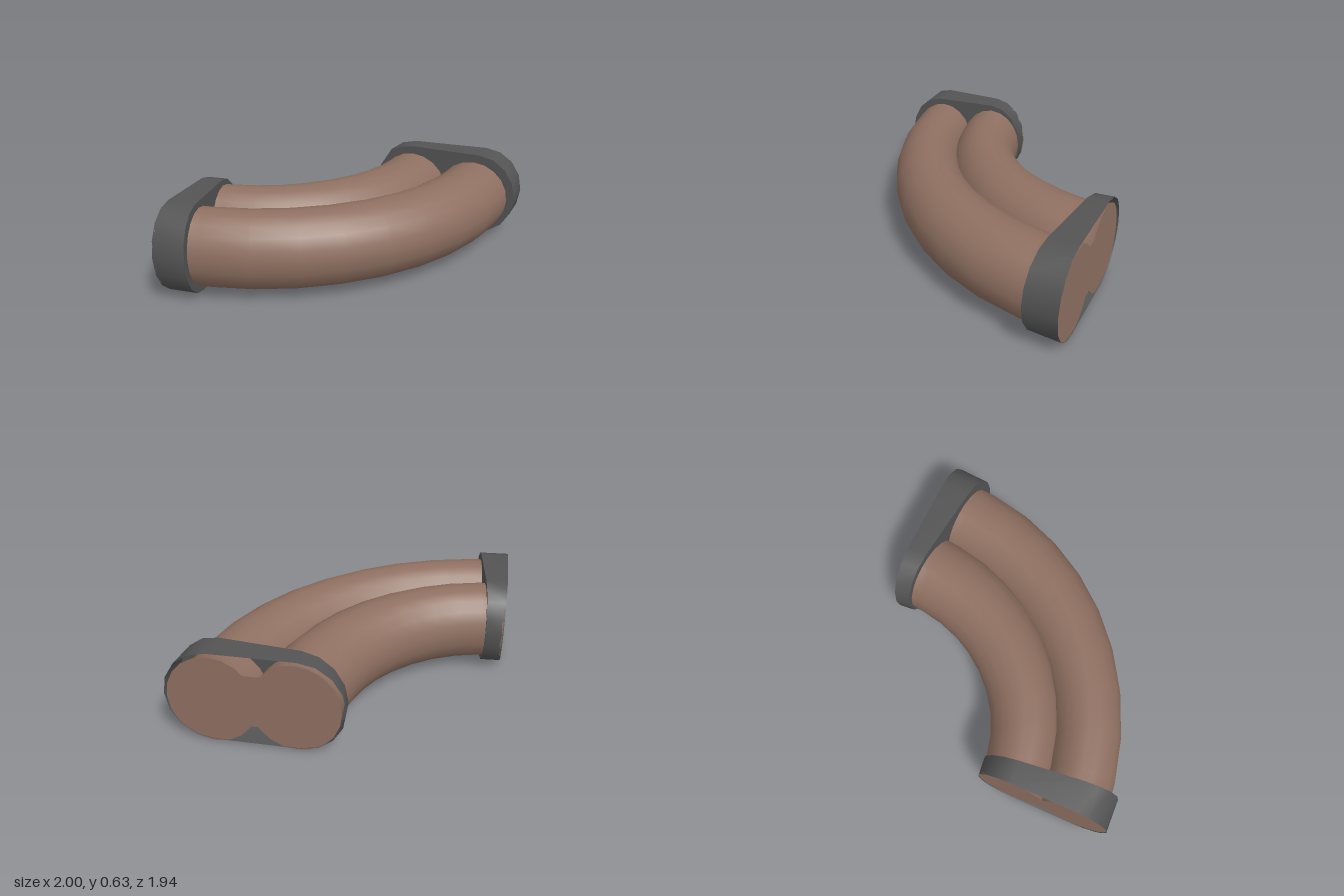
import * as THREE from 'three';

const brown = new THREE.MeshStandardMaterial({ color: 0x8f7061, side: THREE.DoubleSide });
brown.name = 'brown pipe';
const grey = new THREE.MeshStandardMaterial({ color: 0x545454, side: THREE.DoubleSide });
grey.name = 'dark grey collar';

const lerp = THREE.MathUtils.lerp;

// Skin over closed rings of equal length (smooth, open ended)
function loft(rings) {
  const n = rings[0].length, index = [];
  for (let i = 0; i < rings.length - 1; i++) {
    for (let j = 0; j < n; j++) {
      const a = i * n + j, b = i * n + (j + 1) % n;
      index.push(a, b, a + n, b, b + n, a + n);
    }
  }
  const g = new THREE.BufferGeometry().setFromPoints(rings.flat());
  g.setIndex(index);
  g.computeVertexNormals();
  return g;
}

// Flat fan filling one convex ring
function plate(ring) {
  const index = [];
  for (let j = 1; j < ring.length - 1; j++) index.push(0, j, j + 1);
  const g = new THREE.BufferGeometry().setFromPoints(ring);
  g.setIndex(index);
  g.computeVertexNormals();
  return g;
}

// Point in the bend: t = 0 at the right end, 1 at the back end; f = 0 inner edge, 1 outer edge
function bend(t, f, y) {
  const a = t * Math.PI / 2;
  return new THREE.Vector3(
    -0.995 + lerp(0.915, 1.935, f) * Math.sin(a), y,
    -0.968 + lerp(1.05, 1.895, f) * Math.cos(a));
}

function pipeRing(t, centre, half, ry) {
  const ring = [], sides = 20;
  for (let j = 0; j < sides; j++) {
    const a = j / sides * Math.PI * 2;
    ring.push(bend(t, centre + half * Math.cos(a), lerp(0.306, 0.286, t) + ry * Math.sin(a)));
  }
  return ring;
}

// Stadium outline as [u, y] pairs between u0 and u1
function stadium(u0, u1, ry, ru) {
  const pts = [], steps = 8;
  for (const s of [1, -1]) {
    const c = s > 0 ? u1 - ru : u0 + ru;
    for (let i = 0; i <= steps; i++) {
      const a = -Math.PI / 2 + i / steps * Math.PI;
      pts.push([c + s * ru * Math.cos(a), 0.307 + s * ry * Math.sin(a)]);
    }
  }
  return pts;
}

export function createModel() {
  const model = new THREE.Group();
  const add = (name, geometry, material, parent = model) => {
    const m = new THREE.Mesh(geometry, material);
    m.name = name;
    parent.add(m);
  };

  // Two pipes side by side, flared where they sit inside the collars
  const pipes = [['innerPipe', 0.264, 0.265], ['outerPipe', 0.736, 0.77]];
  for (const [name, centre, endCentre] of pipes) {
    const start = pipeRing(0, endCentre, 0.275, 0.3);
    const end = pipeRing(1, endCentre, 0.275, 0.3);
    const rings = [start];
    for (const t of [0.03, 0.1, 0.2, 0.3, 0.4, 0.5, 0.6, 0.7, 0.8, 0.9, 0.97]) {
      rings.push(pipeRing(t, centre, 0.264, 0.266));
    }
    rings.push(end);
    add(name, loft(rings), brown);
    add(name + 'RightEndCap', plate(start), brown);
    add(name + 'BackEndCap', plate(end), brown);
  }

  // Wedge shaped collars: u runs across the pipes, d along them
  const collars = [
    { name: 'rightCollar', at: (u, y, d) => new THREE.Vector3(d, y, u), face: -1,
      outer: [0.075, 0.967], inner: [0.062, 0.96], d: [-0.88, -0.78], ru: 0.235 },
    { name: 'backCollar', at: (u, y, d) => new THREE.Vector3(u, y, d), face: -0.974,
      outer: [-0.118, 1], inner: [-0.11, 0.98], d: [-0.87, -0.75], ru: 0.285 },
  ];
  for (const c of collars) {
    const group = new THREE.Group();
    group.name = c.name;
    const [o0, o1] = c.outer, [i0, i1] = c.inner;
    const rim = stadium(o0, o1, 0.307, c.ru).map(([u, y]) => c.at(u, y, c.face));
    const back = stadium(i0, i1, 0.305, c.ru).map(([u, y]) =>
      c.at(u, y, lerp(c.d[0], c.d[1], (u - i0) / (i1 - i0))));
    add('collarWall', loft([rim, back]), grey, group);
    add('collarInnerFace', plate(back), grey, group);
    // Raised panel joining the two pipe ends
    const panel = stadium(o0 + 0.1, o1 - 0.1, 0.18, c.ru * 0.65);
    add('endPanel', plate(panel.map(([u, y]) => c.at(u, y, c.face))), brown, group);
    model.add(group);
  }
  return model;
}
